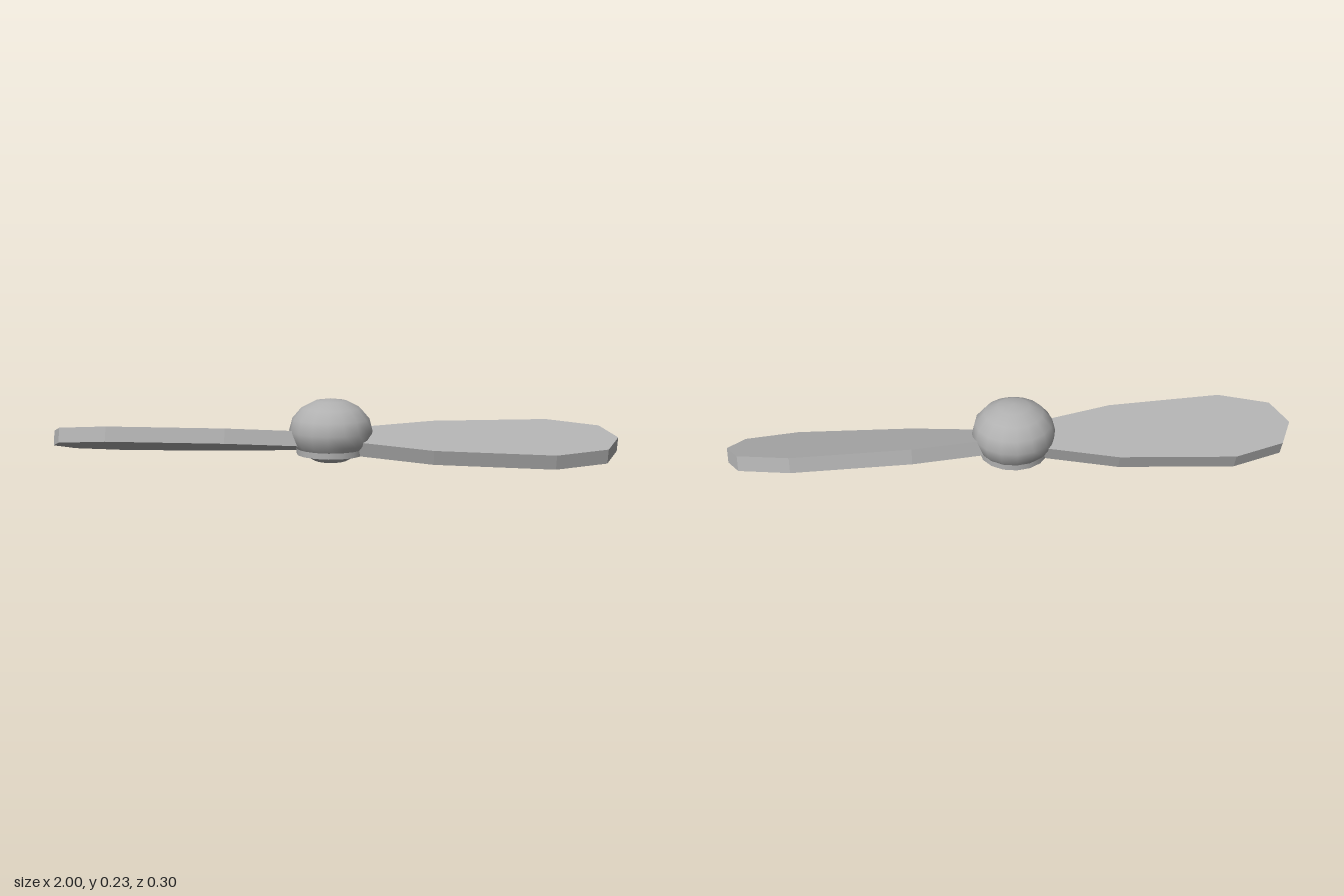
import * as THREE from 'three';

export function createModel() {
  const model = new THREE.Group();
  model.name = 'propeller';
  const grey = new THREE.MeshStandardMaterial({ color: 0xb0b0b0 });
  grey.name = 'grey';

  // Rounded hub
  const hub = new THREE.Mesh(new THREE.SphereGeometry(0.148, 16, 8), grey);
  hub.name = 'hub';
  hub.scale.y = 0.115 / 0.148;
  hub.position.y = 0.117;
  model.add(hub);

  // Short collar showing below the hub
  const collar = new THREE.Mesh(new THREE.CylinderGeometry(0.122, 0.122, 0.065, 16), grey);
  collar.name = 'collar';
  collar.position.y = 0.0675;
  model.add(collar);

  // Blade outline as [distance from centre, half width]
  const edge = [[0.08, 0.06], [0.36, 0.124], [0.77, 0.149], [0.95, 0.098]];
  const outline = [
    ...edge.map(([x, w]) => new THREE.Vector2(x, -w)),
    new THREE.Vector2(1, 0),
    ...edge.slice().reverse().map(([x, w]) => new THREE.Vector2(x, w)),
  ];
  const thickness = 0.053;
  const pitch = THREE.MathUtils.degToRad(15.8);
  const bladeGeometry = new THREE.ExtrudeGeometry(new THREE.Shape(outline), {
    depth: thickness, bevelEnabled: false,
  });
  bladeGeometry.translate(0, 0, -thickness / 2);
  bladeGeometry.rotateX(-Math.PI / 2 + pitch);

  // Two pitched blades, half a turn apart
  ['leftBlade', 'rightBlade'].forEach((name, i) => {
    const blade = new THREE.Mesh(bladeGeometry, grey);
    blade.name = name;
    blade.position.y = 0.079;
    blade.rotation.y = i * Math.PI;
    model.add(blade);
  });

  return model;
}
